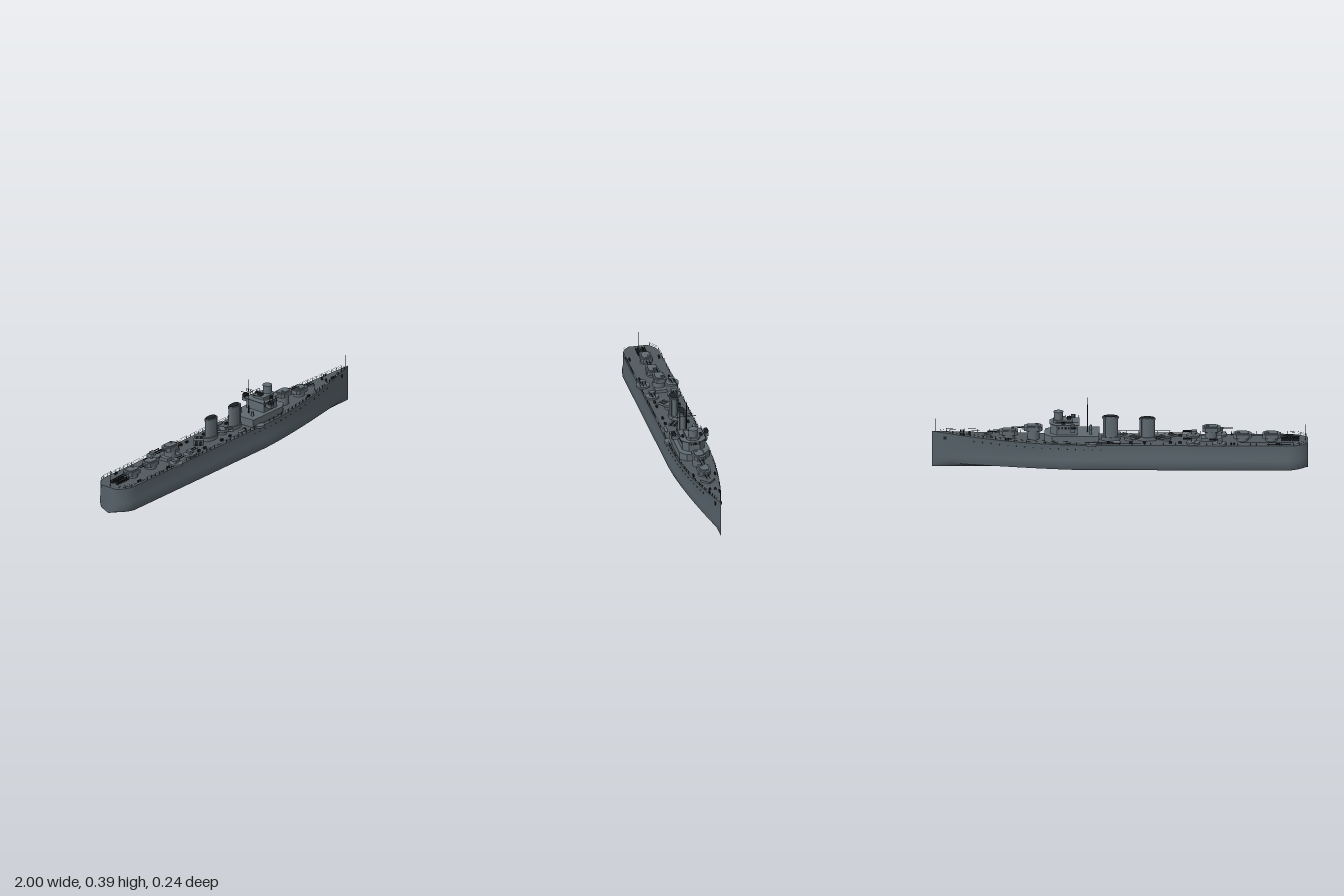
import * as THREE from 'three';
import { toCreasedNormals } from 'three/addons/utils/BufferGeometryUtils.js';

const mat = (name, color, side = THREE.FrontSide) => {
  const m = new THREE.MeshStandardMaterial({ color, side });
  m.name = name;
  return m;
};

// Hull lines
const deckY = x => 0.151 + 0.046 * Math.max(0, (x - 0.1) / 0.9) ** 2;
const bowT = x => Math.max(0, (x - 0.2) / 0.8);
const sternU = x => Math.max(0, (-0.9 - x) / 0.1);
const sternF = x => Math.sqrt(1 - 0.75 * sternU(x) ** 2);
const deckW = x => Math.max(0.0012, 0.1 * (1 - bowT(x) ** 1.9) * sternF(x));
const lowW = x => Math.max(0.001, 0.104 * (1 - bowT(x) ** 1.5) * sternF(x));
const sideZ = (x, y) => {
  const k = (deckY(x) - y) / (deckY(x) - 0.08);
  return deckW(x) * (1 - k) + lowW(x) * 0.965 * k;
};

export function createModel() {
  const root = new THREE.Group();
  const hullGrey = mat('hull grey', 0x566168);
  const deckGrey = mat('deck grey', 0x51595e, THREE.DoubleSide);
  const upperGrey = mat('superstructure grey', 0x5f6a70);
  const dark = mat('dark fittings', 0x1d2225, THREE.DoubleSide);

  const add = (name, geo, m, x = 0, y = 0, z = 0, parent = root) => {
    const mesh = new THREE.Mesh(geo, m);
    mesh.name = name;
    mesh.position.set(x, y, z);
    parent.add(mesh);
    return mesh;
  };
  const group = (name, x, y, z, ry = 0) => {
    const g = new THREE.Group();
    g.name = name;
    g.position.set(x, y, z);
    g.rotation.y = ry;
    root.add(g);
    return g;
  };
  const box = (w, h, d) => new THREE.BoxGeometry(w, h, d);
  const cyl = (r, h, n = 12, r2 = r) => new THREE.CylinderGeometry(r2, r, h, n);
  const rodX = (r, l) => cyl(r, l, 8).rotateZ(Math.PI / 2);
  const rodZ = (r, l, n = 8) => cyl(r, l, n).rotateX(Math.PI / 2);
  // Extrudes a plan outline upward from y = 0
  const slab = (shape, h) => new THREE.ExtrudeGeometry(shape, { depth: h, bevelEnabled: false, curveSegments: 8 }).rotateX(-Math.PI / 2);
  const plan = pts => new THREE.Shape(pts.map(p => new THREE.Vector2(...p)));

  // Hull skin from cross-sections, with a transom fan
  const xs = [-1, -0.995, -0.98, -0.96, -0.93, -0.9];
  for (let i = 1; i <= 38; i++) xs.push(-0.9 + 1.9 * i / 38);
  const pos = [], idx = [], deckPos = [], deckIdx = [];
  xs.forEach((x, i) => {
    const w = deckW(x), l = lowW(x), lift = 0.025 * bowT(x) + 0.018 * sternU(x);
    const half = [[deckY(x), w], [0.08, l * 0.965], [0.066, l], [0.026 + lift, l], [0.012 + lift * 0.5, l * 0.93]];
    const loop = [...half, [0.001, 0], ...half.slice().reverse().map(([y, z]) => [y, -z])];
    loop.forEach(([y, z]) => pos.push(x, y, z));
    deckPos.push(x, deckY(x), w, x, deckY(x), -w);
    const n = loop.length;
    if (i === 0) for (let j = 1; j < n - 1; j++) idx.push(0, j + 1, j);
    if (i < xs.length - 1) {
      for (let j = 0; j < n - 1; j++) {
        const a = i * n + j, b = a + n;
        idx.push(a, a + 1, b, b, a + 1, b + 1);
      }
      const d = i * 2;
      deckIdx.push(d, d + 2, d + 1, d + 1, d + 2, d + 3);
    }
  });
  const skin = (p, ix) => {
    const g = new THREE.BufferGeometry();
    g.setAttribute('position', new THREE.Float32BufferAttribute(p, 3));
    g.setIndex(ix);
    g.computeVertexNormals();
    return toCreasedNormals(g, 0.7);
  };
  add('hull', skin(pos, idx), hullGrey);
  add('deck', skin(deckPos, deckIdx), deckGrey);

  // Portholes, anchors and edge railings, mirrored
  for (const s of [1, -1]) {
    for (let i = 0; i < 16; i++) {
      const x = 0.1 + i * 0.045, y = deckY(x) - 0.025;
      add('porthole', rodZ(0.0035, 0.004, 10), dark, x, y, s * sideZ(x, y));
    }
    add('anchor', box(0.018, 0.016, 0.006), dark, 0.93, 0.163, s * sideZ(0.93, 0.163));
    const rail = [];
    for (let x = -0.99; x < 0.99; x += 0.033) {
      const z = s * deckW(x) * 0.97;
      rail.push(new THREE.Vector3(x, deckY(x), z));
      add('railPost', box(0.0014, 0.017, 0.0014), dark, x, deckY(x) + 0.0085, z);
    }
    for (const h of [0.009, 0.017]) {
      const path = new THREE.CatmullRomCurve3(rail.map(p => p.clone().setY(p.y + h)));
      add('rail', new THREE.TubeGeometry(path, 80, 0.0005, 3), dark);
    }
    // Bollards
    for (const x of [-0.84, -0.6, 0.6, 0.84]) for (const o of [-0.007, 0.007])
      add('bollard', cyl(0.004, 0.012, 8), dark, x + o, deckY(x) + 0.006, s * deckW(x) * 0.8);
  }

  // Main turrets: raised ones stand on taller bases
  const house = plan([[0.05, 0.017], [0.035, 0.03], [-0.03, 0.033], [-0.047, 0.022], [-0.047, -0.022], [-0.03, -0.033], [0.035, -0.03], [0.05, -0.017]]);
  const roof = plan([[0.035, 0.014], [0.025, 0.023], [-0.025, 0.025], [-0.037, 0.017], [-0.037, -0.017], [-0.025, -0.025], [0.025, -0.023], [0.035, -0.014]]);
  for (const [x, y, aft] of [[0.46, 0.205, 0], [0.59, 0.182, 0], [-0.485, 0.203, 1], [-0.65, 0.167, 1], [-0.805, 0.167, 1]]) {
    const g = group('mainTurret', x, y, 0, aft * Math.PI);
    const h = y - deckY(x) + 0.003;
    add('turretBase', cyl(0.032, h, 24), upperGrey, 0, -h / 2 + 0.001, 0, g);
    add('turretHouse', slab(house, 0.022), upperGrey, 0, 0, 0, g);
    add('turretRoof', slab(roof, 0.006), upperGrey, 0, 0.022, 0, g);
    add('turretHatch', cyl(0.008, 0.005, 12), upperGrey, -0.02, 0.03, 0.01, g);
    for (const z of [-0.008, 0.008]) {
      add('gunBarrel', rodX(0.0022, 0.075), dark, 0.078, 0.013, z, g);
      add('gunSleeve', rodX(0.004, 0.02), upperGrey, 0.054, 0.013, z, g);
    }
  }
  add('aftShelter', slab(plan([[-0.54, 0.026], [-0.43, 0.032], [-0.43, -0.032], [-0.54, -0.026]]), 0.018), upperGrey, 0, 0.15, 0);

  // Light gun platforms with twin barrels
  for (const [x, z, r, face] of [[-0.53, 0.078, 0.038, 0], [-0.39, 0.06, 0.036, 0], [0.15, 0.088, 0.03, 0]]) for (const s of [1, -1]) {
    const g = group('lightGunMount', x, 0.15, s * z, face);
    add('gunTub', cyl(r, 0.012, 24), upperGrey, 0, 0.005, 0, g);
    if (x > 0) continue;
    add('gunPedestal', cyl(0.014, 0.016, 12, 0.009), upperGrey, 0, 0.016, 0, g);
    add('gunCradle', box(0.028, 0.012, 0.03), upperGrey, -0.004, 0.026, 0, g);
    for (const o of [-0.008, 0.008]) add('lightGunBarrel', rodX(0.0024, 0.06), dark, 0.025, 0.029, o, g);
  }

  // Funnels: oval tubes with a cap band and a dark mouth
  for (const [x, top] of [[-0.145, 0.275], [0.05, 0.283]]) {
    const g = group('funnel', x, 0.148, 0);
    const h = top - 0.148;
    const oval = (r, hh) => cyl(r, hh, 32).scale(1, 1, 0.52);
    add('funnelBase', oval(0.052, 0.022), upperGrey, 0, 0.011, 0, g);
    add('funnelBody', oval(0.04, h), upperGrey, 0, h / 2, 0, g);
    add('funnelBand', oval(0.045, 0.008), upperGrey, 0, h - 0.008, 0, g);
    add('funnelMouth', oval(0.036, 0.002), dark, 0, h + 0.001, 0, g);
    for (const s of [1, -1]) add('steamPipe', cyl(0.003, h, 8), upperGrey, 0.03, h / 2, s * 0.017, g);
  }

  // Torpedo launchers trained off the centreline
  for (const [x, a] of [[-0.245, 0.65], [-0.05, -0.65]]) {
    const g = group('torpedoLauncher', x, 0.15, 0, a);
    add('launcherTurntable', cyl(0.025, 0.014, 20), upperGrey, 0, 0.007, 0, g);
    for (let i = -2; i <= 2; i++) add('torpedoTube', rodX(0.0055, 0.115), i % 2 ? dark : upperGrey, 0, 0.02, i * 0.011, g);
    add('launcherSaddle', box(0.03, 0.008, 0.056), upperGrey, 0, 0.025, 0, g);
  }

  // Stern racks
  for (const z of [-0.017, 0.017]) {
    for (const o of [-0.008, 0.008]) add('rackRail', box(0.1, 0.004, 0.002), dark, -0.905, 0.166, z + o);
    for (let i = 0; i < 7; i++) add('rackDrum', rodZ(0.0055, 0.014, 10), dark, -0.947 + i * 0.014, 0.158, z);
  }

  // Bridge: deckhouse, stepped house, open top and director tower
  add('deckhouse', slab(plan([[0.11, 0.082], [0.36, 0.082], [0.4, 0.05], [0.4, -0.05], [0.36, -0.082], [0.11, -0.082]]), 0.047), upperGrey, 0, 0.148, 0);
  add('bridgeHouse', slab(plan([[0.225, 0.06], [0.335, 0.06], [0.368, 0.03], [0.368, -0.03], [0.335, -0.06], [0.225, -0.06]]), 0.055), upperGrey, 0, 0.194, 0);
  add('bridgeDeck', slab(plan([[0.215, 0.068], [0.34, 0.068], [0.374, 0.034], [0.374, -0.034], [0.34, -0.068], [0.215, -0.068]]), 0.004), upperGrey, 0, 0.248, 0);
  add('bridgeTop', slab(plan([[0.25, 0.036], [0.335, 0.036], [0.355, 0.02], [0.355, -0.02], [0.335, -0.036], [0.25, -0.036]]), 0.014), upperGrey, 0, 0.252, 0);
  add('directorTower', cyl(0.024, 0.045, 24), upperGrey, 0.327, 0.286, 0);
  add('directorRim', cyl(0.026, 0.004, 24), upperGrey, 0.327, 0.307, 0);
  for (let i = -3; i <= 3; i++) add('bridgeWindow', box(0.003, 0.011, 0.006), dark, 0.3685, 0.237, i * 0.0085);
  for (const s of [1, -1]) {
    for (let i = 0; i < 6; i++) {
      add('bridgeRailPost', box(0.0014, 0.016, 0.0014), dark, 0.22 + i * 0.024, 0.258, s * 0.066);
      add('sideWindow', box(0.008, 0.01, 0.003), dark, 0.235 + i * 0.018, 0.232, s * 0.0602);
    }
    add('bridgeRail', box(0.122, 0.0015, 0.0015), dark, 0.28, 0.266, s * 0.066);
    add('bridgeScreen', box(0.018, 0.014, 0.01), dark, 0.3, 0.258, s * 0.05);
    add('wingBracket', box(0.025, 0.018, 0.042), upperGrey, 0.25, 0.231, s * 0.079);
    add('searchlight', rodX(0.0125, 0.024), dark, 0.25, 0.251, s * 0.088);
    add('lightPost', cyl(0.005, 0.012, 8), dark, 0.25, 0.24, s * 0.088);
    // Boats and deck lockers
    add('lifeRaft', new THREE.CapsuleGeometry(0.008, 0.035, 4, 10).rotateZ(Math.PI / 2), upperGrey, 0.02, 0.163, s * 0.078);
    for (const x of [-0.32, -0.27, -0.13, -0.06, 0.06]) add('deckLocker', box(0.016, 0.012, 0.01), dark, x, 0.156, s * 0.062);
    add('ventilator', cyl(0.007, 0.025, 12), upperGrey, 0.155, 0.206, s * 0.04);
  }
  add('chartBox', box(0.022, 0.018, 0.024), dark, 0.27, 0.27, 0);

  // Mast with yard and lattice aerial
  add('mast', cyl(0.003, 0.195, 8, 0.0016), dark, 0.172, 0.289, 0);
  add('mastYard', rodZ(0.0016, 0.105), dark, 0.172, 0.306, 0);
  for (let i = -2; i <= 2; i++) add('aerialUpright', box(0.0015, 0.017, 0.0015), dark, 0.178, 0.323, i * 0.0095);
  for (const y of [0.315, 0.323, 0.331]) add('aerialBar', rodZ(0.0008, 0.04), dark, 0.178, y, 0);

  // Flagstaffs, breakwater and capstans
  add('sternStaff', cyl(0.0014, 0.088, 6), dark, -0.985, 0.195, 0);
  add('bowStaff', cyl(0.0014, 0.072, 6), dark, 0.98, 0.229, 0);
  for (const s of [1, -1]) {
    const b = add('breakwater', box(0.055, 0.012, 0.003), upperGrey, 0.7, deckY(0.7) + 0.005, s * 0.02);
    b.rotation.y = s * 0.7;
    add('capstan', cyl(0.006, 0.012, 12, 0.005), dark, 0.8, deckY(0.8) + 0.006, s * 0.014);
  }
  return root;
}
